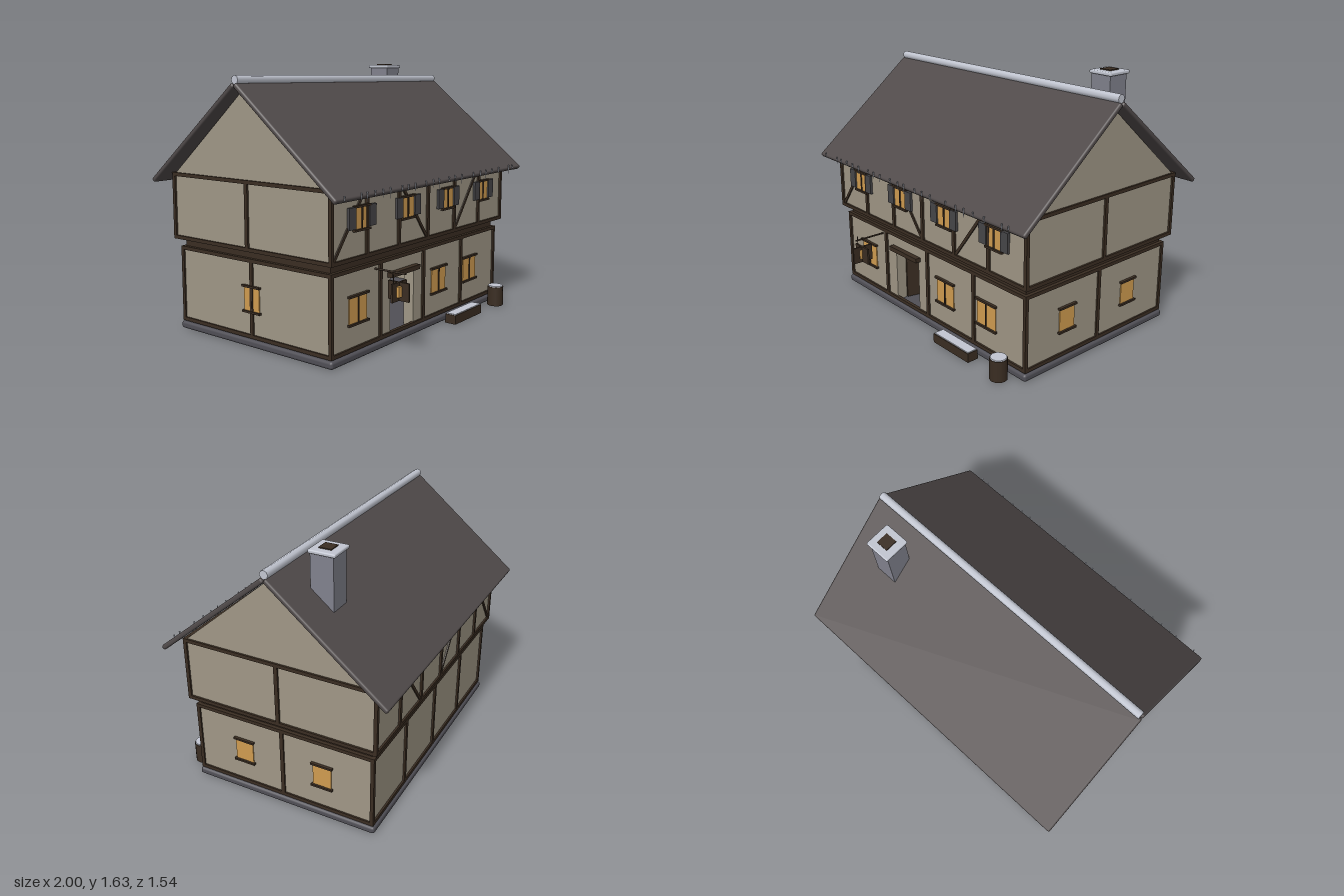
import * as THREE from 'three';
import { RoundedBoxGeometry } from 'three/addons/geometries/RoundedBoxGeometry.js';

const paint = (name, color) => {
  const m = new THREE.MeshStandardMaterial({ color });
  m.name = name;
  return m;
};

export function createModel() {
  const house = new THREE.Group();
  house.name = 'timberHouse';

  const plaster = paint('plaster', 0xa09786);
  const timber = paint('timber', 0x3a2d22);
  const slate = paint('slate', 0x504a4a);
  const stone = paint('plinthStone', 0x504f56);
  const chimneyStone = paint('chimneyStone', 0x81828d);
  const snow = paint('snow', 0xc2c6d1);
  const glow = paint('windowGlow', 0xd09c50);
  const shutterGrey = paint('shutterGrey', 0x474649);

  const add = (name, geo, mat, x = 0, y = 0, z = 0, parent = house) => {
    const m = new THREE.Mesh(geo, mat);
    m.name = name;
    m.position.set(x, y, z);
    parent.add(m);
    return m;
  };
  // Box given by its limits on each axis
  const box = (name, mat, x0, x1, y0, y1, z0, z1, parent = house) =>
    add(name, new THREE.BoxGeometry(x1 - x0, y1 - y0, z1 - z0), mat,
      (x0 + x1) / 2, (y0 + y1) / 2, (z0 + z1) / 2, parent);

  const MID = -0.05; // z of the ridge line

  // Plinth
  add('plinth', new RoundedBoxGeometry(1.8, 0.045, 1.215, 2, 0.016), stone, 0, 0.0225, MID);

  // Ground floor walls, with an opening for the door
  const g0 = 0.04, g1 = 0.515;
  box('groundBackWall', plaster, -0.88, 0.88, g0, g1, -0.635, -0.565);
  box('groundFrontWall', plaster, -0.88, -0.34, g0, g1, 0.465, 0.535);
  box('groundFrontWall', plaster, -0.1, 0.88, g0, g1, 0.465, 0.535);
  box('wallOverDoor', plaster, -0.34, -0.1, 0.41, g1, 0.465, 0.535);
  for (const s of [-1, 1])
    box('groundSideWall', plaster, s * 0.845 - 0.035, s * 0.845 + 0.035, g0, g1, -0.565, 0.465);

  // Jetty, upper storey and gable prism
  box('jetty', timber, -0.867, 0.867, 0.51, 0.575, MID - 0.575, MID + 0.575);
  box('upperWalls', plaster, -0.908, 0.908, 0.572, 0.97, MID - 0.613, MID + 0.613);
  const tri = new THREE.Shape();
  tri.moveTo(-0.613, 0.965);
  tri.lineTo(0.613, 0.965);
  tri.lineTo(0, 1.488);
  const gable = new THREE.ExtrudeGeometry(tri, { depth: 1.816, bevelEnabled: false });
  gable.translate(0, 0, -0.908).rotateY(Math.PI / 2);
  add('gables', gable, plaster, 0, 0, MID);

  // Timber frame of one storey: rails all round, posts on every side
  function frame(name, hx, hz, y0, y1, posts) {
    const g = new THREE.Group();
    g.name = name;
    house.add(g);
    const t = 0.022;
    for (const y of [y0, y1 - t]) {
      for (const s of [-1, 1]) {
        const z = MID + s * (hz - t / 2), x = s * (hx - t / 2);
        box('rail', timber, -hx, hx, y, y + t, z - t / 2, z + t / 2, g);
        box('rail', timber, x - t / 2, x + t / 2, y, y + t, MID - hz, MID + hz, g);
      }
    }
    for (const s of [-1, 1]) {
      const z = MID + s * (hz - t / 2), x = s * (hx - t / 2);
      for (const p of posts)
        box('post', timber, p - 0.012, p + 0.012, y0, y1, z - t / 2, z + t / 2, g);
      for (const e of [-1, 1])
        box('cornerPost', timber, x - 0.011, x + 0.011, y0, y1,
          MID + e * (hz - 0.011) - 0.011, MID + e * (hz - 0.011) + 0.011, g);
      box('sidePost', timber, x - t / 2, x + t / 2, y0, y1, MID - 0.012, MID + 0.012, g);
    }
    return g;
  }
  frame('groundFrame', 0.89, 0.597, 0.05, 0.52, [-0.443, 0, 0.443]);
  const upperFrame = frame('upperFrame', 0.92, 0.625, 0.568, 0.975, [-0.607, -0.303, 0, 0.303, 0.607]);

  // Diagonal braces, the same on front and back
  for (const [xa, xb] of [[-0.9, -0.615], [-0.005, -0.298], [0.31, 0.6]]) {
    const dx = xb - xa, dy = 0.375;
    for (const s of [-1, 1]) {
      const b = add('brace', new THREE.BoxGeometry(0.018, Math.hypot(dx, dy), 0.016), timber,
        (xa + xb) / 2, 0.77, MID + s * 0.613, upperFrame);
      b.rotation.z = -Math.atan2(dx, dy);
    }
  }

  // Window built facing +z, then turned to its wall
  function makeWindow(x, y, z, turn, w, h, { mullion = true, shutters = false } = {}) {
    const g = new THREE.Group();
    g.name = 'window';
    g.position.set(x, y, z);
    g.rotation.y = turn;
    house.add(g);
    box('pane', glow, -w / 2, w / 2, -h / 2, h / 2, -0.002, 0.006, g);
    for (const s of [-1, 1])
      box(s < 0 ? 'sill' : 'lintel', timber, -w / 2 - 0.01, w / 2 + 0.01,
        s * h / 2 - 0.006, s * h / 2 + 0.006, -0.002, 0.018, g);
    if (mullion) box('mullion', timber, -0.005, 0.005, -h / 2, h / 2, 0, 0.011, g);
    if (shutters)
      for (const s of [-1, 1])
        box('shutter', shutterGrey, s * 0.09 - 0.03, s * 0.09 + 0.03, -h / 2 + 0.01, h / 2, 0, 0.016, g);
  }
  for (const x of [-0.65, 0.175, 0.555]) makeWindow(x, 0.282, 0.535, 0, 0.16, 0.16);
  for (const x of [-0.66, -0.22, 0.22, 0.66])
    makeWindow(x, 0.797, 0.567, 0, 0.12, 0.13, { shutters: true });
  for (const z of [0.215, -0.315])
    makeWindow(0.88, 0.282, z, Math.PI / 2, 0.12, 0.15, { mullion: false });
  makeWindow(-0.88, 0.282, MID, -Math.PI / 2, 0.12, 0.15);

  // Door standing open inwards, and its lintel
  const door = new THREE.Group();
  door.name = 'door';
  door.position.set(-0.335, 0, 0.465);
  door.rotation.y = Math.atan2(0.22, 0.05);
  house.add(door);
  box('doorLeaf', timber, 0, 0.225, 0.05, 0.388, -0.008, 0.008, door);
  box('doorLintel', timber, -0.37, -0.08, 0.402, 0.43, 0.53, 0.57);

  // Roof slabs and ridge
  const slope = 0.686;
  for (const s of [-1, 1]) {
    const slab = add('roofSlab', new RoundedBoxGeometry(2, 0.03, 0.918, 2, 0.012), slate,
      0, 1.214, MID + s * 0.36);
    slab.rotation.x = s * slope;
  }
  const ridge = new THREE.CylinderGeometry(0.026, 0.026, 1.97, 8);
  ridge.rotateZ(Math.PI / 2);
  add('ridgeSnow', ridge, snow, 0, 1.531, MID);

  // Icicles along the front eave
  const icicles = [-0.93, -0.79, -0.74, -0.67, -0.6, -0.53, -0.42, -0.36, -0.29, -0.18, -0.1,
    -0.04, 0.07, 0.14, 0.22, 0.36, 0.45, 0.52, 0.6, 0.69, 0.83, 0.88];
  icicles.forEach((x, i) => {
    const h = 0.04 + 0.012 * ((i * 7) % 3);
    const cone = new THREE.ConeGeometry(0.005, h, 5);
    cone.rotateX(Math.PI);
    add('icicle', cone, snow, x, 0.955 - h / 2, 0.67);
  });

  // Chimney
  box('chimneyStack', chimneyStone, 0.632, 0.773, 1.2, 1.61, -0.34, -0.2);
  add('chimneyCap', new RoundedBoxGeometry(0.165, 0.022, 0.165, 2, 0.008), snow, 0.703, 1.615, -0.272);
  box('flue', timber, 0.665, 0.741, 1.6, 1.632, -0.31, -0.234);

  // Hanging lantern: glowing core between two crossed boards
  const lantern = new THREE.Group();
  lantern.name = 'lantern';
  house.add(lantern);
  const pole = new THREE.CylinderGeometry(0.006, 0.006, 0.21, 8);
  pole.rotateX(Math.PI / 2);
  add('bracketPole', pole, timber, -0.487, 0.476, 0.64, lantern);
  add('hanger', new THREE.CylinderGeometry(0.003, 0.003, 0.055, 6), timber, -0.54, 0.45, 0.7, lantern);
  box('lanternBoard', timber, -0.558, -0.418, 0.32, 0.426, 0.694, 0.706, lantern);
  box('lanternBoard', timber, -0.494, -0.482, 0.32, 0.426, 0.63, 0.77, lantern);
  box('lanternCore', glow, -0.522, -0.48, 0.345, 0.405, 0.678, 0.724, lantern);

  // Bench and barrel with snow on top
  box('bench', timber, 0.2, 0.525, 0, 0.058, 0.58, 0.655);
  box('benchSnow', snow, 0.205, 0.52, 0.058, 0.064, 0.585, 0.65);
  const barrel = add('barrel', new THREE.CylinderGeometry(0.053, 0.053, 0.13, 12), timber.clone(), 0.763, 0.065, 0.63);
  barrel.material = timber;
  add('barrelSnow', new THREE.CylinderGeometry(0.048, 0.05, 0.008, 12), snow, 0.763, 0.133, 0.63);

  return house;
}
